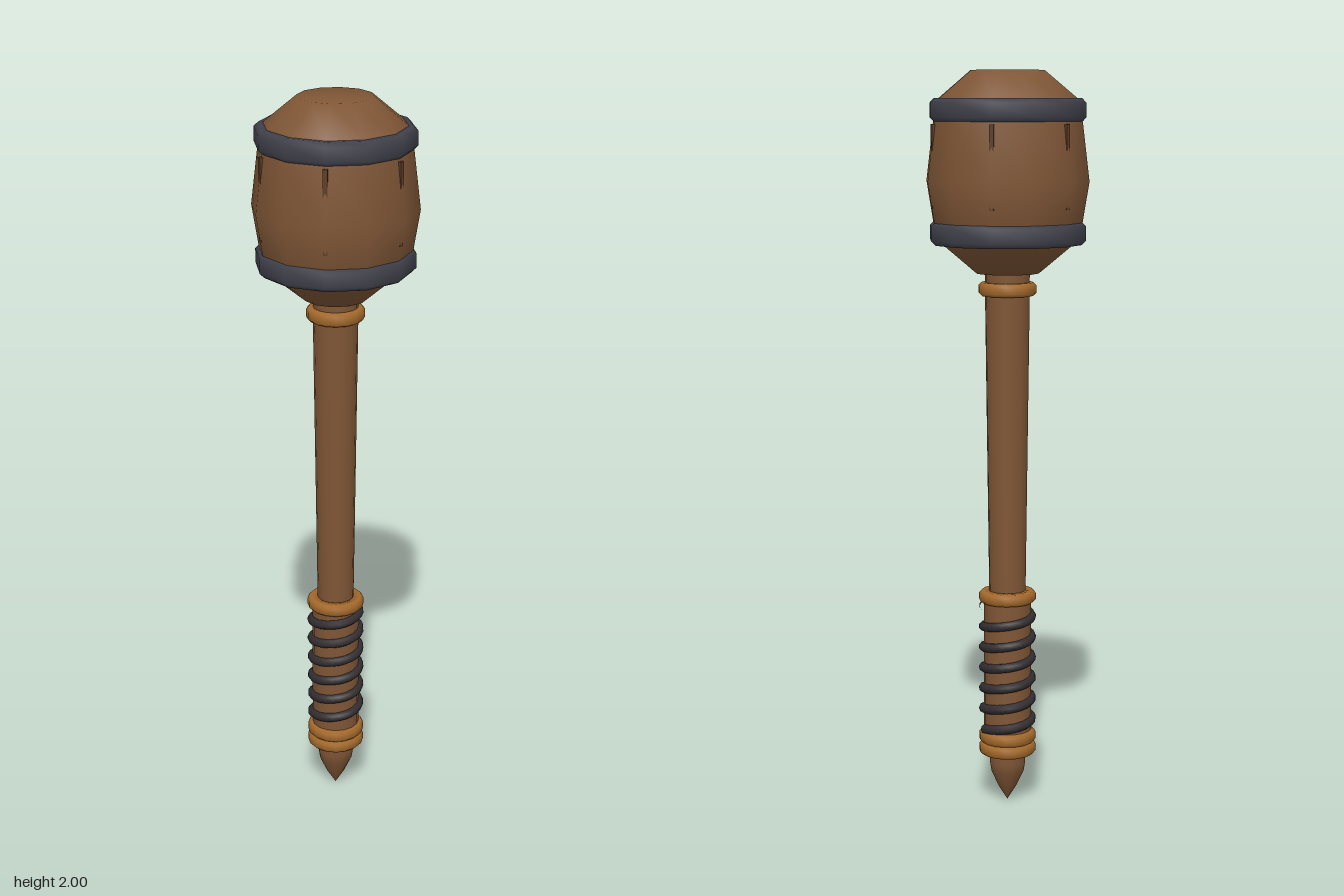
import * as THREE from 'three';

const mat = (name, color) => {
  const m = new THREE.MeshStandardMaterial({ color });
  m.name = name;
  return m;
};

export function createModel() {
  const group = new THREE.Group();
  const wood = mat('wood', 0x7f5636);
  const darkWood = mat('dark wood', 0x5e3d25);
  const iron = mat('iron', 0x41424c);
  const brass = mat('brass', 0xa56a2b);
  const leather = mat('dark leather', 0x322d30);

  const add = (name, geometry, material) => {
    const mesh = new THREE.Mesh(geometry, material);
    mesh.name = name;
    group.add(mesh);
    return mesh;
  };
  // Turned part from [radius, height] pairs, listed bottom to top
  const turned = (name, points, material, sides = 12) =>
    add(name, new THREE.LatheGeometry(points.map(p => new THREE.Vector2(...p)), sides), material);
  // Hoop with softened edges
  const hoop = (name, inner, outer, y0, y1, bevel, material, sides) => turned(name, [
    [inner, y0], [outer - bevel, y0], [outer, y0 + bevel], [outer, y1 - bevel],
    [outer - bevel, y1], [inner, y1], [inner, y0],
  ], material, sides);

  // Barrel-shaped head
  turned('barrelHead', [
    [0, 1.465], [0.085, 1.465], [0.175, 1.54], [0.203, 1.6], [0.221, 1.71],
    [0.203, 1.86], [0.19, 1.925], [0.1, 2], [0, 2],
  ], wood);
  hoop('upperHoop', 0.17, 0.212, 1.865, 1.927, 0.012, iron, 12);
  hoop('lowerHoop', 0.16, 0.212, 1.542, 1.604, 0.012, iron, 12);

  // Straight slats that surface above and below the bulge
  for (let i = 0; i < 6; i++) {
    const a = (i * Math.PI) / 3;
    const slat = add('slat', new THREE.BoxGeometry(0.02, 0.22, 0.012), darkWood);
    slat.position.set(Math.cos(a) * 0.2, 1.75, -Math.sin(a) * 0.2);
    slat.rotation.y = a;
  }

  // Shaft, grip core and pointed butt
  turned('shaft', [[0.05, 0.56], [0.05, 0.6], [0.06, 1.4], [0.06, 1.47]], wood, 16);
  turned('grip', [[0.065, 0.17], [0.065, 0.58]], wood, 16);
  turned('spike', [[0, 0], [0.025, 0.04], [0.046, 0.085], [0.05, 0.11], [0.05, 0.15]], wood, 12);

  // Collars
  for (const [y0, y1] of [[0.135, 0.169], [0.169, 0.203], [0.564, 0.597], [1.405, 1.441]])
    hoop('collar', 0.045, 0.078, y0, y1, 0.008, brass, 16);

  // Spiral wrap around the grip
  const turns = 6, steps = turns * 12, path = [];
  for (let i = 0; i <= steps; i++) {
    const t = i / steps, a = t * turns * Math.PI * 2;
    path.push(new THREE.Vector3(Math.cos(a) * 0.066, 0.208 + t * 0.348, -Math.sin(a) * 0.066));
  }
  add('gripWrap', new THREE.TubeGeometry(new THREE.CatmullRomCurve3(path), 144, 0.013, 8), leather);

  return group;
}
